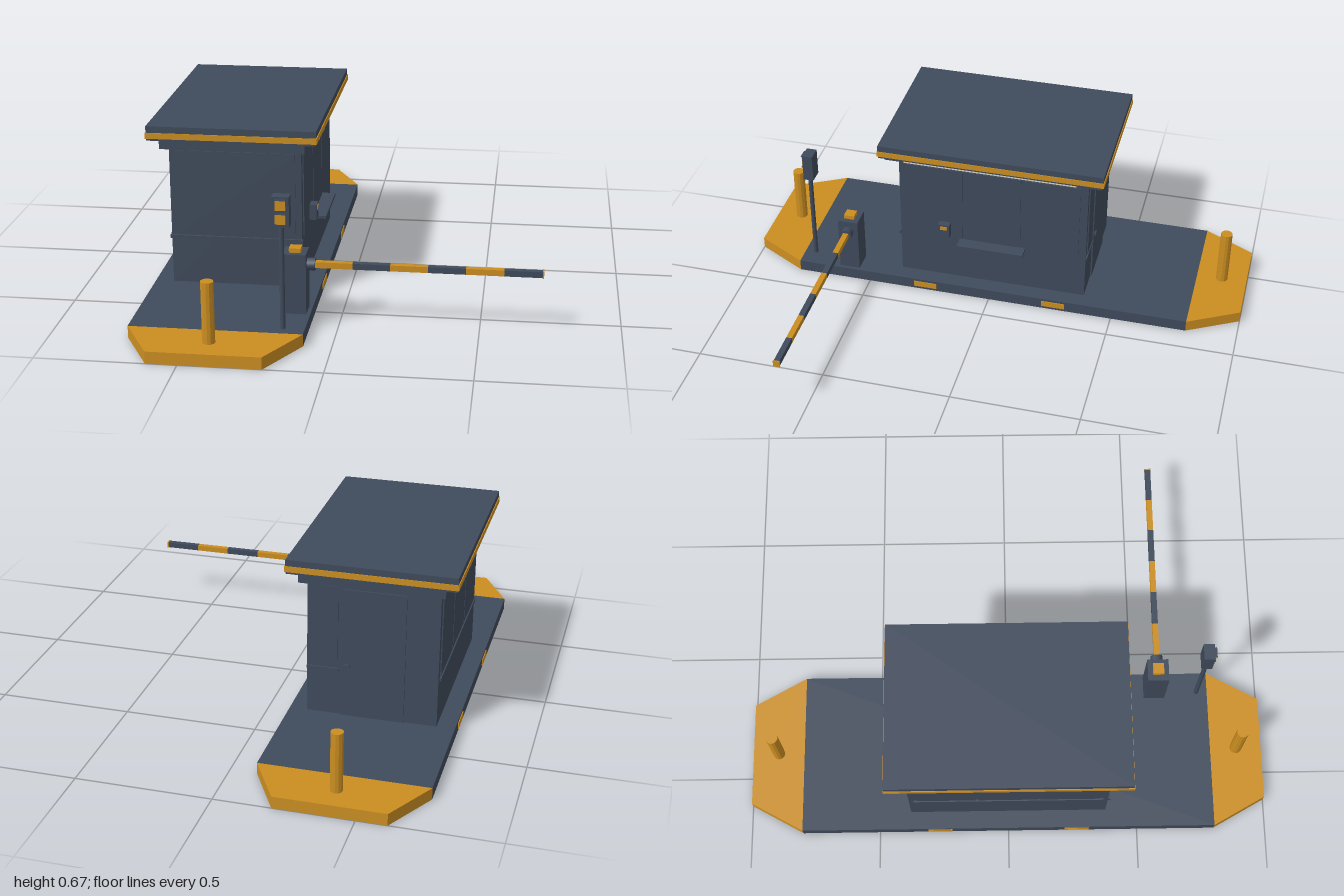
import * as THREE from 'three';

export function createModel() {
  const root = new THREE.Group();
  const mat = (name, color) => {
    const m = new THREE.MeshStandardMaterial({ color });
    m.name = name;
    return m;
  };
  const slate = mat('slate', 0x3f4a5b);
  const amber = mat('amber', 0xcb8e21);
  const lamp = mat('lamp', 0xd9d3c0);

  const add = (name, geo, m) => {
    const mesh = new THREE.Mesh(geo, m);
    mesh.name = name;
    root.add(mesh);
    return mesh;
  };
  // Box given by its limits on each axis
  const box = (name, m, x0, x1, y0, y1, z0, z1) => {
    const g = new THREE.BoxGeometry(x1 - x0, y1 - y0, z1 - z0);
    g.translate((x0 + x1) / 2, (y0 + y1) / 2, (z0 + z1) / 2);
    return add(name, g, m);
  };

  // Traffic island with tapered ends
  const cx = -0.41, top = 0.045;
  box('islandSlab', slate, -0.72, -0.1, 0, top, -0.8, 0.8);
  for (const s of [1, -1]) {
    const shape = new THREE.Shape([
      [-0.31, 0.8], [0.31, 0.8], [0.2, 1], [-0.2, 1],
    ].map(([x, z]) => new THREE.Vector2(x, z)));
    const nose = new THREE.ExtrudeGeometry(shape, { depth: top, bevelEnabled: false });
    nose.rotateX(Math.PI / 2).translate(0, top, 0);
    if (s < 0) nose.rotateY(Math.PI);
    add('islandNose', nose.translate(cx, 0, 0), amber);

    const post = new THREE.CylinderGeometry(0.023, 0.023, 0.225, 12).toNonIndexed();
    post.computeVertexNormals();
    add('bollard', post.translate(cx, top + 0.1125, s * 0.9), amber);

    // Kerb reflectors on both long sides
    for (const x of [-0.72, -0.1]) {
      box('kerbReflector', amber, x - 0.003, x + 0.003, 0.011, 0.035, s * 0.265 - 0.047, s * 0.265 + 0.047);
    }
  }

  // Booth
  const L = -0.652, R = -0.165, Z = 0.378, t = 0.004;
  box('boothWalls', slate, L, R, top, 0.58, -Z, Z);
  box('cornice', slate, -0.675, -0.145, 0.578, 0.613, -0.43, 0.43);
  box('frontWindow', slate, -0.63, -0.188, 0.237, 0.56, Z, Z + t);
  box('frontSill', slate, L - 0.005, R + 0.005, 0.22, 0.232, Z, Z + 0.008);
  for (const z of [-0.235, 0, 0.235]) {
    box('rightWindow', slate, L - t, L, 0.237, 0.56, z - 0.113, z + 0.113);
    box('leftWindow', slate, R, R + t, 0.237, 0.56, z - 0.113, z + 0.113);
  }
  box('rightSill', slate, L - 0.007, L, 0.22, 0.232, -0.36, 0.36);
  box('serviceCounter', slate, R, -0.11, 0.226, 0.237, -0.134, 0.134);

  // Back window, door and handle
  box('backWindow', slate, -0.28, -0.185, 0.237, 0.555, -Z - t, -Z);
  box('backSill', slate, -0.285, R, 0.222, 0.232, -Z - 0.006, -Z);
  box('door', slate, -0.53, -0.295, top, 0.55, -Z - 0.006, -Z);
  box('doorHandle', slate, -0.325, -0.307, 0.242, 0.254, -Z - 0.013, -Z);

  // Roof with a trim band and a light strip over the counter
  box('roofUnderside', slate, -0.718, -0.102, 0.612, 0.622, -0.442, 0.442);
  box('roofBand', amber, -0.722, -0.098, 0.62, 0.642, -0.446, 0.446);
  box('roofTop', slate, -0.719, -0.101, 0.642, 0.666, -0.443, 0.443);
  box('lightStrip', lamp, -0.144, -0.105, 0.604, 0.6115, -0.34, 0.34);

  // Intercom beside the counter
  box('intercom', slate, R, -0.135, 0.25, 0.31, 0.17, 0.215);
  box('intercomButton', amber, -0.135, -0.132, 0.288, 0.303, 0.179, 0.207);

  // Barrier cabinet, hub and striped arm
  const az = 0.588, ay = 0.223;
  box('barrierCabinet', slate, -0.2, -0.114, top, 0.27, az - 0.041, az + 0.041);
  box('cabinetBeacon', amber, -0.177, -0.135, 0.27, 0.286, az - 0.021, az + 0.021);
  const hub = new THREE.CylinderGeometry(0.023, 0.023, 0.03, 12).rotateZ(Math.PI / 2);
  add('armHub', hub.translate(-0.1, ay, az), slate);
  const x0 = -0.086, step = 0.1335;
  for (let i = 0; i < 6; i++) {
    box('armStripe', i % 2 ? slate : amber, x0 + i * step, x0 + (i + 1) * step,
      ay - 0.011, ay + 0.011, az - 0.011, az + 0.011);
  }
  box('armTip', amber, x0 + 6 * step, 0.72, ay - 0.013, ay + 0.013, az - 0.013, az + 0.013);

  // Signal with two lights and small visors
  const sx = -0.177;
  add('signalPole', new THREE.CylinderGeometry(0.009, 0.009, 0.385, 12).translate(sx, 0.2375, 0.757), slate);
  box('signalHead', slate, sx - 0.03, sx + 0.03, 0.425, 0.535, 0.733, 0.774);
  for (const y of [0.506, 0.456]) {
    box('signalLight', amber, sx - 0.018, sx + 0.018, y - 0.018, y + 0.018, 0.774, 0.78);
    box('signalVisor', slate, sx - 0.02, sx + 0.02, y + 0.018, y + 0.021, 0.774, 0.783);
  }

  return root;
}
